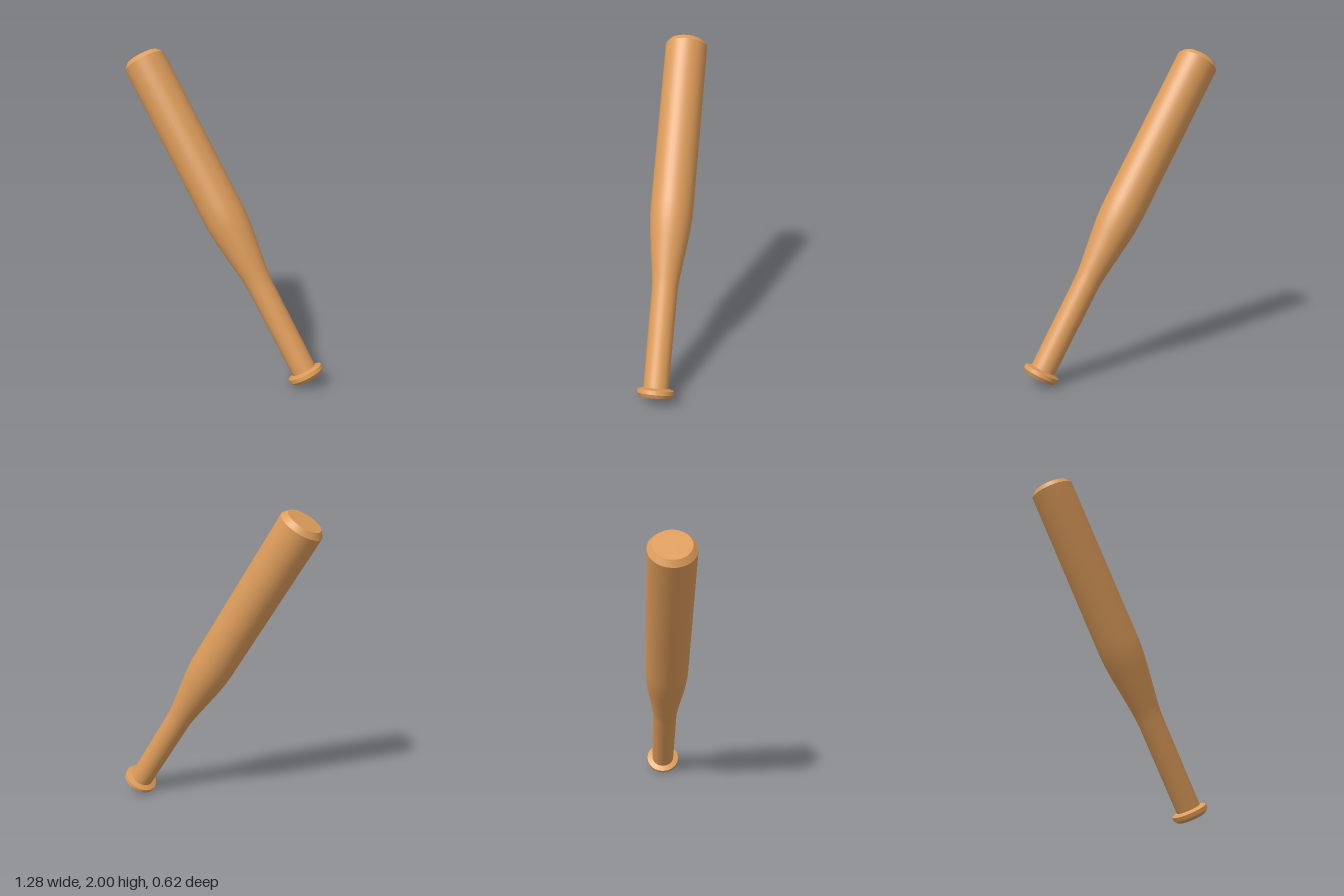
import * as THREE from 'three';
import { toCreasedNormals } from 'three/addons/utils/BufferGeometryUtils.js';

// Turned part from [radius, distance along the axis] pairs, bottom to top
function turned(name, profile, material) {
  const points = profile.map(([r, s]) => new THREE.Vector2(r, s));
  const geometry = toCreasedNormals(new THREE.LatheGeometry(points, 40), 0.5);
  const mesh = new THREE.Mesh(geometry, material);
  mesh.name = name;
  return mesh;
}

export function createModel() {
  const wood = new THREE.MeshStandardMaterial({ color: 0xdd9c5a });
  wood.name = 'wood';

  // Axis ends: centre of the knob's base and centre of the barrel's end
  const base = new THREE.Vector3(0.551, 0.048, 0.203);
  const tip = new THREE.Vector3(-0.541, 1.946, -0.187);
  const axis = tip.clone().sub(base);
  const length = axis.length();

  const bat = new THREE.Group();
  bat.name = 'bat';

  // Flared knob with bevelled rims
  bat.add(turned('knob', [
    [0, 0], [0.091, 0], [0.111, 0.021], [0.111, 0.045], [0.076, 0.057],
  ], wood));

  // Handle, softened taper and barrel with a bevelled end
  bat.add(turned('handleAndBarrel', [
    [0.076, 0.05], [0.079, 0.64], [0.082, 0.68], [0.087, 0.73],
    [0.121, 0.98], [0.127, 1.04], [0.131, 1.1], [0.132, 1.16],
    [0.132, length - 0.031], [0.105, length], [0, length],
  ], wood));

  // Lean the bat along its axis
  bat.quaternion.setFromUnitVectors(new THREE.Vector3(0, 1, 0), axis.normalize());
  bat.position.copy(base);

  const model = new THREE.Group();
  model.name = 'woodenBat';
  model.add(bat);
  return model;
}
